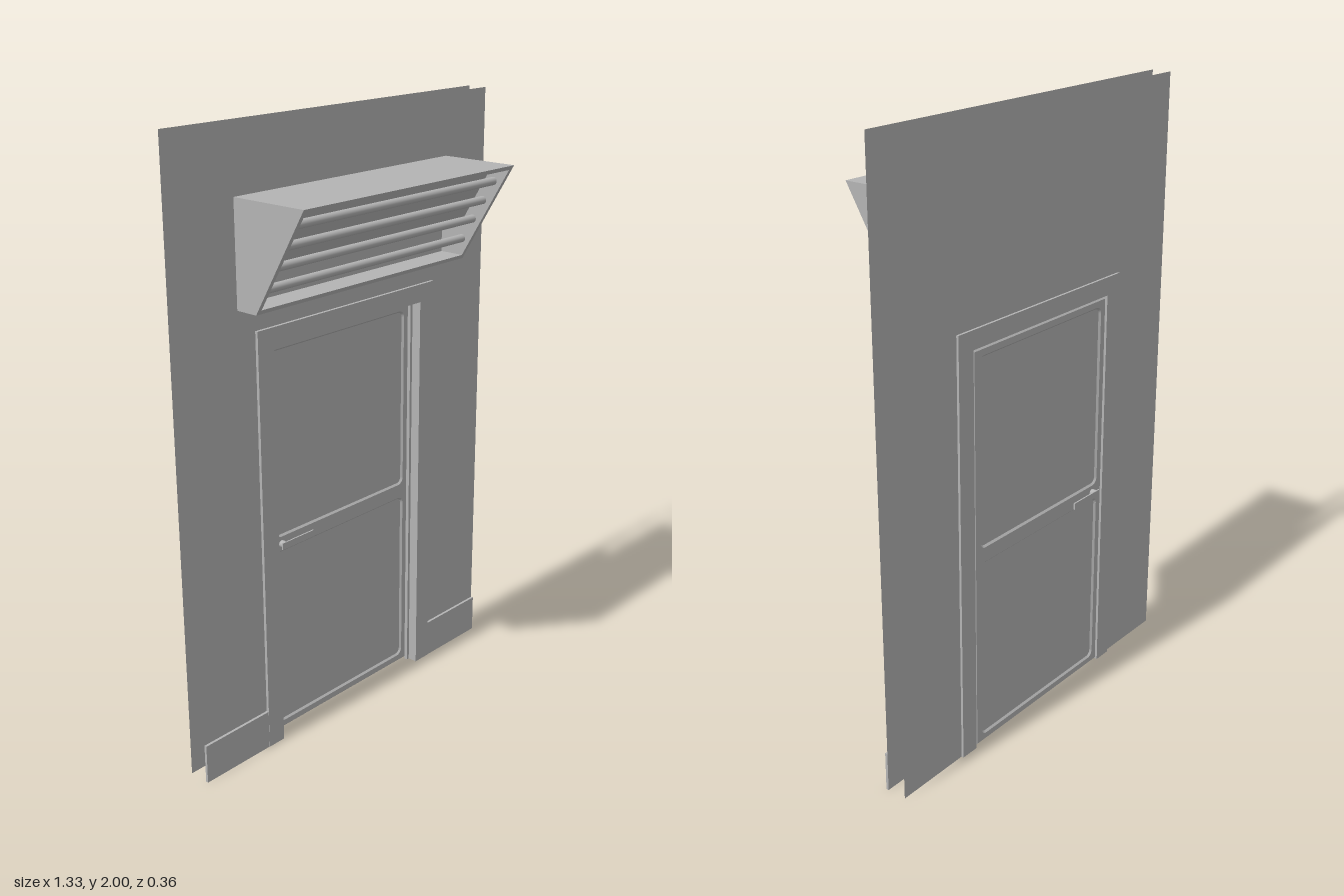
import * as THREE from 'three';

export function createModel() {
  const root = new THREE.Group();
  const grey = new THREE.MeshStandardMaterial({ color: 0xb4b4b4, side: THREE.DoubleSide });
  grey.name = 'plain grey';

  const add = (name, geometry, x = 0, y = 0, z = 0, parent = root) => {
    const mesh = new THREE.Mesh(geometry, grey);
    mesh.name = name;
    mesh.position.set(x, y, z);
    parent.add(mesh);
    return mesh;
  };
  const polygon = pts => new THREE.Shape(pts.map(p => new THREE.Vector2(...p)));
  // Upside-down U outline around a doorway
  const arch = (w, h, iw, ih) => polygon([
    [-w, 0], [-iw, 0], [-iw, ih], [iw, ih], [iw, 0], [w, 0], [w, h], [-w, h]]);
  const slab = (shape, depth) => new THREE.ExtrudeGeometry(shape, { depth, bevelEnabled: false });
  // Extrude a (z, y) profile across x, centred
  const across = (pts, width) => slab(polygon(pts), width)
    .rotateY(-Math.PI / 2).translate(width / 2, 0, 0);

  // Two thin wall skins with the doorway cut out
  const wall = new THREE.ShapeGeometry(arch(0.667, 2, 0.39, 1.39));
  add('frontWall', wall, 0, 0, -0.092);
  add('backWall', wall, 0, 0, -0.158);

  // Skirting on both sides of the doorway
  for (const s of [-1, 1]) {
    add('skirting', new THREE.BoxGeometry(0.267, 0.13, 0.009), s * 0.5335, 0.065, -0.0875);
  }

  // Door frame and door stop
  add('doorFrame', slab(arch(0.4, 1.4, 0.335, 1.34), 0.084), 0, 0, -0.166);
  add('doorStop', slab(arch(0.336, 1.341, 0.325, 1.327), 0.012), 0, 0, -0.127);

  // Door leaf with two bevelled, round-cornered recesses
  const leaf = polygon([[-0.333, 0.004], [0.333, 0.004], [0.333, 1.337], [-0.333, 1.337]]);
  const roundRect = (x0, y0, x1, y1, r) => {
    const p = new THREE.Path();
    p.absarc(x1 - r, y1 - r, r, 0, Math.PI / 2);
    p.absarc(x0 + r, y1 - r, r, Math.PI / 2, Math.PI);
    p.absarc(x0 + r, y0 + r, r, Math.PI, Math.PI * 1.5);
    p.absarc(x1 - r, y0 + r, r, Math.PI * 1.5, Math.PI * 2);
    p.closePath();
    return p;
  };
  for (const y of [0.035, 0.7]) {
    leaf.holes.push(roundRect(-0.3, y, 0.3, y + 0.605, 0.018));
    add('doorPanel', new THREE.BoxGeometry(0.61, 0.615, 0.024), 0, y + 0.3025, -0.145);
  }
  add('doorLeaf', new THREE.ExtrudeGeometry(leaf, {
    depth: 0.024, bevelThickness: 0.006, bevelSize: 0.006, bevelOffset: -0.006,
    bevelSegments: 1, curveSegments: 6,
  }), 0, 0, -0.157);

  // Lever handles on both faces
  for (const [s, z] of [[1, -0.127], [-1, -0.163]]) {
    const handle = new THREE.Group();
    handle.name = 'doorHandle';
    handle.position.set(-0.28, 0.67, z);
    root.add(handle);
    add('handlePost', new THREE.CylinderGeometry(0.012, 0.012, 0.018, 16).rotateX(Math.PI / 2),
      0, 0, s * 0.009, handle);
    add('handleLever', new THREE.BoxGeometry(0.14, 0.022, 0.005), 0.055, 0, s * 0.018, handle);
  }

  // Slanted hood above the door, open at the front
  const hood = new THREE.Group();
  hood.name = 'hood';
  root.add(hood);
  const back = -0.092, low = 1.475, high = 1.8, t = 0.014;
  const faceZ = y => -0.015 + (y - low) * 0.6;
  const slice = (y0, y1) => [[back, y0], [faceZ(y0), y0], [faceZ(y1), y1], [back, y1]];
  add('hoodTop', across(slice(high - t, high), 0.934), 0, 0, 0, hood);
  add('hoodBottom', across(slice(low, low + t), 0.934), 0, 0, 0, hood);
  for (const s of [-1, 1]) {
    add('hoodEnd', across(slice(low, high), t), s * (0.467 - t / 2), 0, 0, hood);
  }
  // Sloped inner panel behind the bars
  add('hoodInnerPanel', across([
    [faceZ(1.6) - 0.07, 1.6], [faceZ(1.786) - 0.07, 1.786],
    [faceZ(1.786) - 0.075, 1.786], [faceZ(1.6) - 0.075, 1.6]], 0.906), 0, 0, 0, hood);
  // Round bars across the opening
  for (const y of [1.745, 1.68, 1.615, 1.545]) {
    add('hoodBar', new THREE.CylinderGeometry(0.013, 0.013, 0.906, 16).rotateZ(Math.PI / 2),
      0, y, faceZ(y) - 0.035, hood);
  }
  return root;
}
